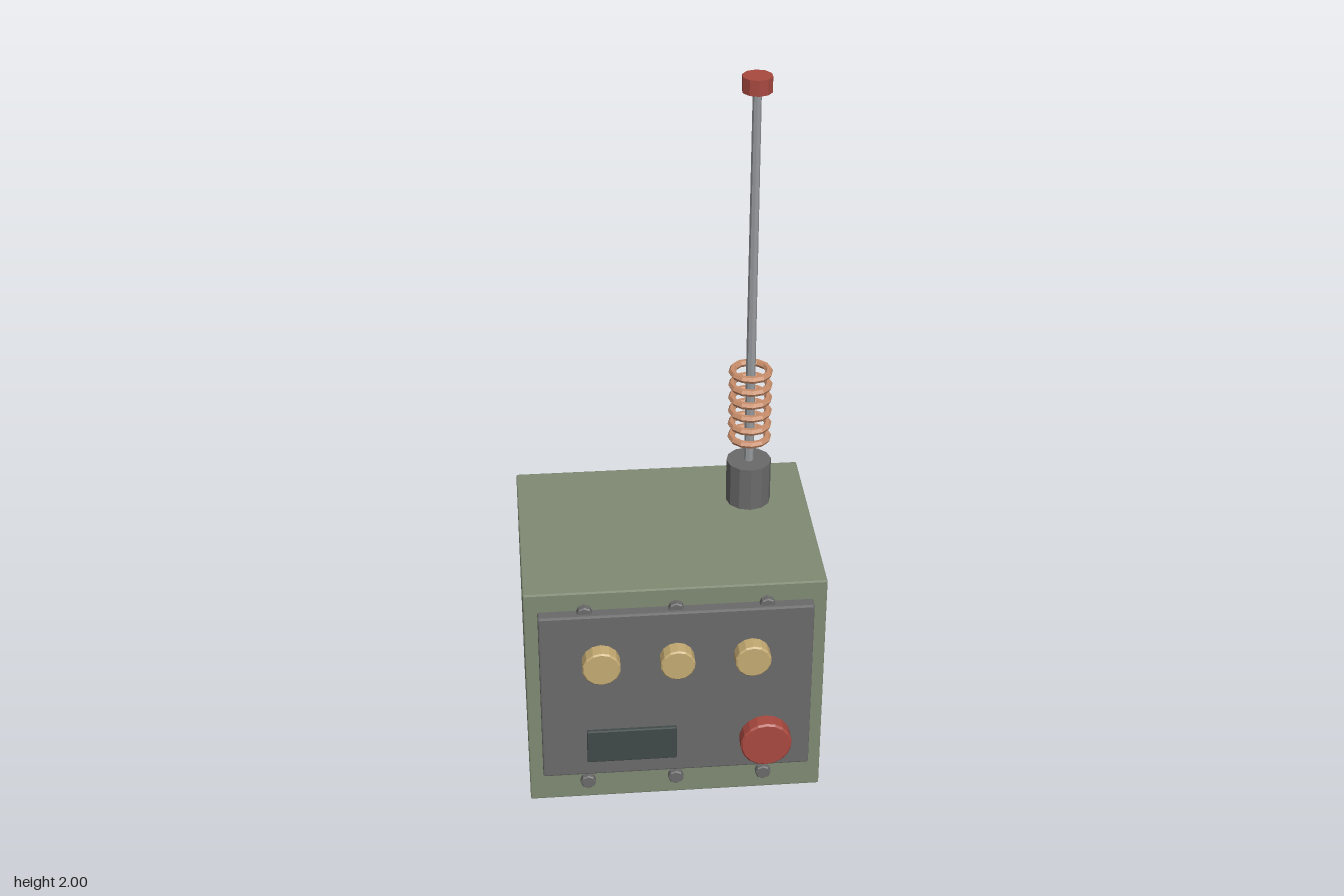
import * as THREE from 'three';
import { RoundedBoxGeometry } from 'three/addons/geometries/RoundedBoxGeometry.js';

function material(name, color, flatShading = false) {
  const m = new THREE.MeshStandardMaterial({ color, flatShading });
  m.name = name;
  return m;
}

export function createModel() {
  const green = material('olive green', 0x7f8a73, true);
  const grey = material('dark grey', 0x6a6a6a, true);
  const brass = material('brass', 0xc4aa72, true);
  const red = material('red', 0xa8493f, true);
  const glass = material('dark glass', 0x414a49, true);
  const copper = material('copper', 0xc98f6c, true);
  const steel = material('steel', 0x96999c, true);

  const group = new THREE.Group();
  function add(name, geometry, mat, x, y, z, parent = group) {
    const mesh = new THREE.Mesh(geometry, mat);
    mesh.name = name;
    mesh.position.set(x, y, z);
    parent.add(mesh);
    return mesh;
  }
  const box = (w, h, d, bevel) => new RoundedBoxGeometry(w, h, d, 1, bevel);

  // Round part facing the front, with a small bevel on its outer rim
  function frontDisc(name, r, z0, z1, sides, bevel, mat, x, y) {
    const d = z1 - z0;
    const profile = [[0, 0], [r, 0], [r, d - bevel], [r - bevel, d], [0, d]]
      .map(([a, b]) => new THREE.Vector2(a, b));
    const geometry = new THREE.LatheGeometry(profile, sides).rotateX(Math.PI / 2);
    return add(name, geometry, mat, x, y, z0);
  }

  // Case and control panel
  add('case', box(0.83, 0.71, 0.622, 0.004), green, 0, 0.355, -0.039);
  add('panel', box(0.754, 0.546, 0.045, 0.005), grey, 0, 0.38, 0.2825);
  add('display', box(0.252, 0.108, 0.03, 0.003), glass, -0.126, 0.213, 0.301);

  // Bolts above and below the panel
  for (const y of [0.651, 0.066])
    for (const x of [-0.25, 0, 0.25])
      frontDisc('bolt', 0.022, 0.262, 0.292, 8, 0.003, grey, x, y);

  // Three knobs and the large push button
  [[-0.209, 0.053], [0, 0.048], [0.207, 0.05]].forEach(([x, r]) =>
    frontDisc('knob', r, 0.295, 0.348, 14, 0.004, brass, x, 0.505));
  frontDisc('button', 0.072, 0.295, 0.348, 18, 0.005, red, 0.249, 0.212);

  // Antenna: socket, rod, coil rings and tip
  const antenna = new THREE.Group();
  antenna.name = 'antenna';
  antenna.position.set(0.248, 0, -0.163);
  group.add(antenna);
  add('socket', new THREE.CylinderGeometry(0.064, 0.064, 0.134, 12), grey, 0, 0.775, 0, antenna);
  add('rod', new THREE.CylinderGeometry(0.012, 0.014, 1.14, 8), steel, 0, 1.4, 0, antenna);
  const ring = new THREE.TorusGeometry(0.052, 0.0105, 6, 12).rotateX(Math.PI / 2);
  for (let i = 0; i < 6; i++)
    add('coilRing', ring, copper, 0, 0.92 + i * 0.0418, 0, antenna);
  add('tip', new THREE.CylinderGeometry(0.041, 0.041, 0.043, 10), red, 0, 1.9785, 0, antenna);

  return group;
}
